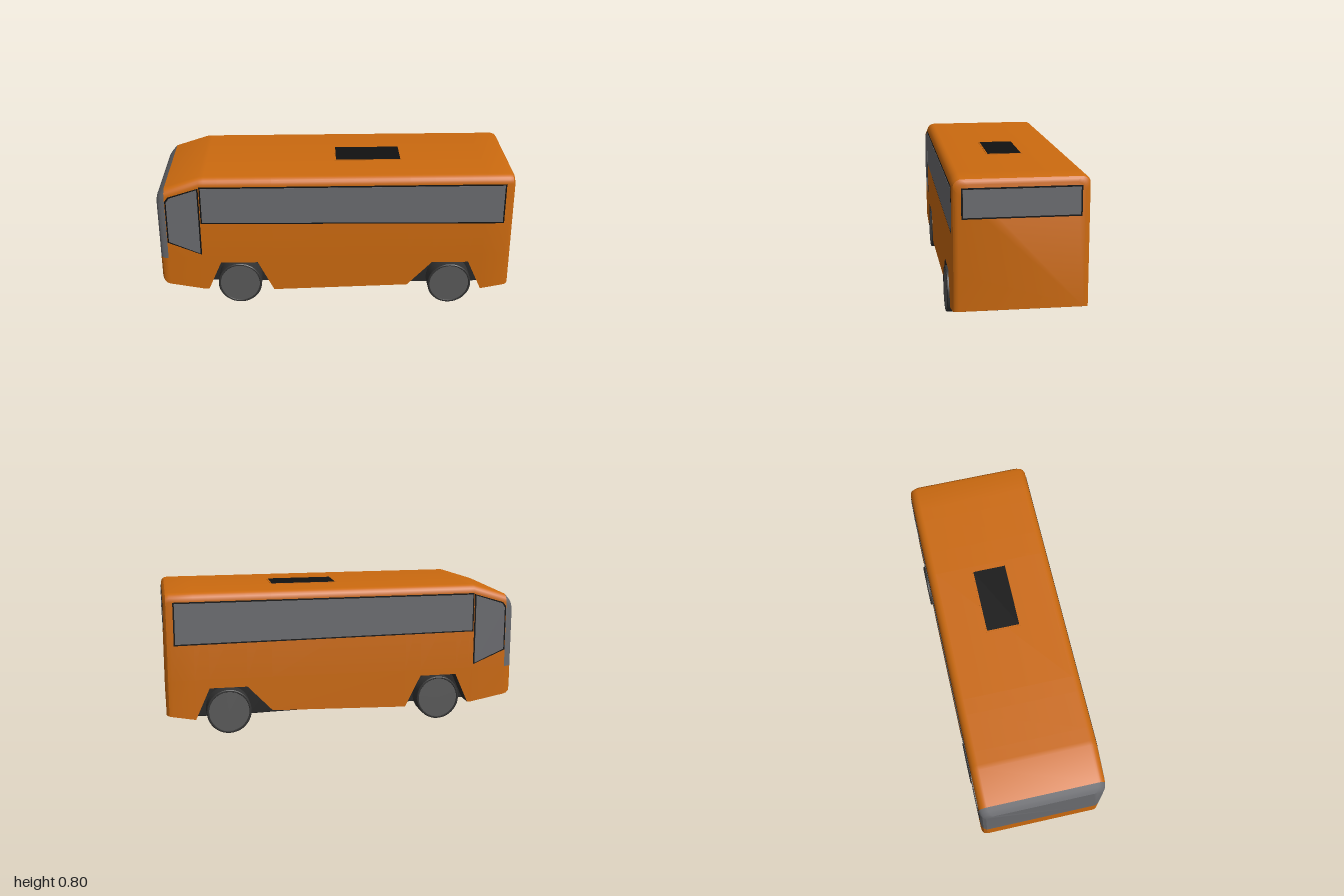
import * as THREE from 'three';
import { mergeGeometries, toCreasedNormals } from 'three/addons/utils/BufferGeometryUtils.js';

const paint = (color) => new THREE.MeshStandardMaterial({ color });
const ORANGE = paint(0xcc6a0f), GLASS = paint(0x6b6c70), BLACK = paint(0x111111);
const DARK = paint(0x2a2a2a), TYRE = paint(0x333333), HUB = paint(0x5a5a5a);

// Stations from nose to tail: x, half width, skirt height, roof height, floor height
const STATIONS = [
  [-1, 0.32, 0.19, 0.69], [-0.99, 0.338, 0.17, 0.705], [-0.975, 0.347, 0.158, 0.722],
  [-0.955, 0.35, 0.152, 0.743], [-0.76, 0.35, 0.115, 0.805], [-0.735, 0.35, 0.115, 0.805],
  [-0.66, 0.35, 0.285, 0.805, 0.11], [-0.45, 0.35, 0.285, 0.805, 0.107],
  [-0.36, 0.35, 0.105, 0.805, 0.103], [0.41, 0.35, 0.125, 0.805, 0.087],
  [0.55, 0.35, 0.27, 0.805, 0.083], [0.76, 0.35, 0.27, 0.805, 0.083],
  [0.84, 0.35, 0.092, 0.805, 0.085], [0.965, 0.35, 0.115, 0.805],
  [0.985, 0.345, 0.118, 0.8], [0.995, 0.335, 0.12, 0.79], [1, 0.32, 0.122, 0.775],
];
const NOSE = 4; // stations covered by the windscreen

// Open section: left skirt, up, over the rounded roof, down to the right skirt
function shellRing([x, w, bottom, top]) {
  const r = 0.045, half = [[bottom, w], [0.32, w]];
  for (let i = 0; i <= 6; i++) {
    const a = (i / 6) * Math.PI / 2;
    half.push([top - r + r * Math.sin(a), w - r + r * Math.cos(a)]);
  }
  const left = half.map(([y, z]) => [x, y, z]);
  const right = half.map(([y, z]) => [x, y, -z]).reverse();
  return [...left, ...right];
}

// Underside section with wheel wells, from right to left
function floorRing([x, w, bottom, , floor]) {
  const y = floor ?? bottom, dip = floor ? y - 0.012 : y;
  const half = [[bottom, w], [bottom, 0.25], [y, 0.245], [dip, 0.21], [y, 0.15]];
  return [...half.map(([h, z]) => [x, h, -z]), ...half.map(([h, z]) => [x, h, z]).reverse()];
}

function fromPoints(points, index) {
  const g = new THREE.BufferGeometry();
  g.setAttribute('position', new THREE.Float32BufferAttribute(points.flat(), 3));
  g.setIndex(index);
  return g;
}

function loft(rings) {
  const n = rings[0].length, index = [];
  for (let i = 0; i < rings.length - 1; i++) {
    for (let j = 0; j < n - 1; j++) {
      const a = i * n + j, b = a + n;
      index.push(a, b, b + 1, a, b + 1, a + 1);
    }
  }
  return fromPoints(rings.flat(), index);
}

function cap(ring) {
  const index = [];
  for (let i = 1; i < ring.length - 1; i++) index.push(0, i, i + 1);
  return fromPoints(ring, index);
}

const smooth = (parts) => toCreasedNormals(mergeGeometries(parts), 0.5);

function add(parent, name, geometry, material) {
  const mesh = new THREE.Mesh(geometry, material);
  mesh.name = name;
  parent.add(mesh);
  return mesh;
}

function plate(points, depth) {
  const shape = new THREE.Shape(points.map(([x, y]) => new THREE.Vector2(x, y)));
  return new THREE.ExtrudeGeometry(shape, { depth, bevelEnabled: false });
}

// Black-framed pane lying in the xy plane, facing +z
function windowPane(name, points) {
  const group = new THREE.Group();
  group.name = name;
  const box = new THREE.Box2().setFromPoints(points.map(([x, y]) => new THREE.Vector2(x, y)));
  const c = box.getCenter(new THREE.Vector2()), s = box.getSize(new THREE.Vector2());
  const t = 0.016;
  const inner = points.map(([x, y]) => [
    c.x + (x - c.x) * (1 - t / s.x), c.y + (y - c.y) * (1 - t / s.y)]);
  add(group, 'windowFrame', plate(points, 0.002), BLACK);
  add(group, 'windowGlass', plate(inner, 0.0035), GLASS);
  return group;
}

function wheel(name, x, y, z, side) {
  const group = new THREE.Group();
  group.name = name;
  const r = 0.125;
  const profile = [[0, -0.05], [r - 0.004, -0.05], [r, -0.046], [r, 0.046], [r - 0.004, 0.05],
    [r - 0.01, 0.05], [r - 0.013, 0.045], [0, 0.045]].map(([a, b]) => new THREE.Vector2(a, b));
  add(group, 'tyre', toCreasedNormals(new THREE.LatheGeometry(profile, 40), 0.5), TYRE);
  const hub = add(group, 'hubDisc', new THREE.CircleGeometry(r - 0.012, 40), HUB);
  hub.rotation.x = -Math.PI / 2;
  hub.position.y = 0.046;
  group.rotation.x = side * Math.PI / 2;
  group.position.set(x, y, side * z);
  return group;
}

export function createModel() {
  const bus = new THREE.Group();
  bus.name = 'bus';
  const rings = STATIONS.map(shellRing), nose = rings.slice(0, NOSE), first = rings[0];

  // Painted shell, including the nose below the windscreen
  add(bus, 'bodyShell', smooth([
    loft(rings.slice(NOSE - 1)),
    loft(nose.map((r) => r.slice(0, 2))),
    loft(nose.map((r) => r.slice(-2))),
    cap([...first.slice(0, 2), ...first.slice(-2)]),
    cap([...rings.at(-1)].reverse()),
  ]), ORANGE);

  // Wraparound windscreen
  add(bus, 'windscreen', smooth([
    loft(nose.map((r) => r.slice(1, -1))), cap(first.slice(1, -1)),
  ]), GLASS);

  // Underside and wheel wells
  add(bus, 'underside', toCreasedNormals(loft(STATIONS.map(floorRing)), 0.3), DARK);

  // Side windows and wheels
  const longPane = [[-0.76, 0.535], [0.948, 0.517], [0.948, 0.758], [-0.76, 0.758]];
  const cabPane = [[-0.953, 0.42], [-0.764, 0.34], [-0.764, 0.752], [-0.935, 0.7], [-0.953, 0.675]];
  for (const side of [1, -1]) {
    const label = side > 0 ? 'left' : 'right';
    for (const [name, pts] of [['SideWindow', longPane], ['CabWindow', cabPane]]) {
      const outline = side > 0 ? pts : pts.map(([x, y]) => [-x, y]);
      const pane = windowPane(label + name, outline);
      pane.position.z = side * 0.35;
      if (side < 0) pane.rotation.y = Math.PI;
      bus.add(pane);
    }
    bus.add(wheel(label + 'FrontWheel', -0.555, 0.15, 0.303, side));
    bus.add(wheel(label + 'RearWheel', 0.655, 0.133, 0.31, side));
  }

  // Rear window
  const rear = windowPane('rearWindow', [[-0.304, 0.6], [0.304, 0.6], [0.304, 0.758], [-0.304, 0.758]]);
  rear.rotation.y = Math.PI / 2;
  rear.position.x = 0.9975;
  rear.position.x = 1 - 0.0005;
  bus.add(rear);

  // Roof hatch
  const rim = add(bus, 'hatchRim', new THREE.BoxGeometry(0.385, 0.008, 0.2), ORANGE);
  rim.position.set(0.19, 0.8035, 0);
  const hatch = add(bus, 'roofHatch', new THREE.BoxGeometry(0.37, 0.008, 0.185), BLACK);
  hatch.position.set(0.19, 0.805, 0);

  return bus;
}
